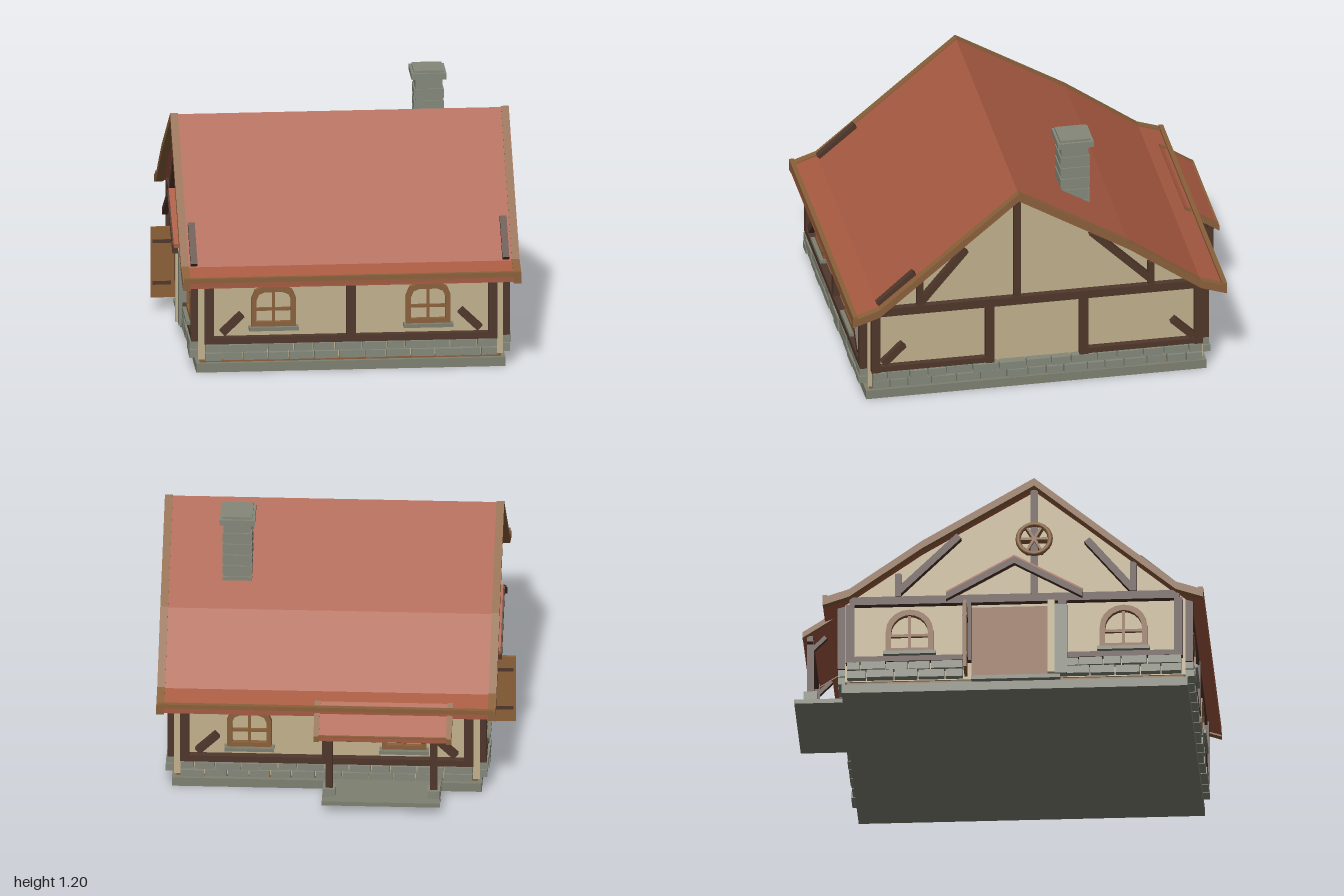
import * as THREE from 'three';

const mat = (name, color, side = THREE.FrontSide) => {
  const m = new THREE.MeshStandardMaterial({ color, side });
  m.name = name;
  return m;
};

export function createModel() {
  const model = new THREE.Group();
  model.name = 'cottage';
  const tile = mat('roofTile', 0xa85a41);
  const plaster = mat('plaster', 0xc2b18d);
  const dark = mat('darkTimber', 0x50372b);
  const trim = mat('trimWood', 0x8a603a);
  const stone = mat('stone', 0x85887a);
  const slabMat = mat('slabStone', 0x7e8171);
  const doorMat = mat('doorWood', 0x8c6038);

  let seed = 7;
  const rnd = () => (seed = (seed * 16807) % 2147483647) / 2147483647;

  const add = (parent, name, geo, m) => {
    const mesh = new THREE.Mesh(geo, m);
    mesh.name = name;
    parent.add(mesh);
    return mesh;
  };
  // Box given by its lower and upper limits on each axis
  const box = (parent, name, m, x0, x1, y0, y1, z0, z1) => {
    const b = add(parent, name, new THREE.BoxGeometry(x1 - x0, y1 - y0, z1 - z0), m);
    b.position.set((x0 + x1) / 2, (y0 + y1) / 2, (z0 + z1) / 2);
    return b;
  };
  // Profile in (z, y) extruded along x
  const alongX = (parent, name, m, pts, x0, x1) => {
    const shape = new THREE.Shape(pts.map(([z, y]) => new THREE.Vector2(-z, y)));
    const geo = new THREE.ExtrudeGeometry(shape, { depth: x1 - x0, bevelEnabled: false });
    geo.rotateY(Math.PI / 2);
    const mesh = add(parent, name, geo, m);
    mesh.position.x = x0;
    return mesh;
  };
  // Closed band of constant thickness under a (z, y) line
  const band = (line, drop, thick) => [
    ...line.map(([z, y]) => [z, y - drop]),
    ...[...line].reverse().map(([z, y]) => [z, y - drop - thick]),
  ];

  // Foundation and plastered body
  box(model, 'foundation', slabMat, -0.72, 0.78, 0, 0.045, -0.76, 0.917);
  box(model, 'sillPlate', trim, -0.7, 0.76, 0.045, 0.065, -0.735, 0.895);
  alongX(model, 'walls', plaster, [[0.905, 0.062], [0.905, 0.465], [0.177, 1.055],
    [-0.365, 0.735], [-0.745, 0.47], [-0.745, 0.062]], -0.71, 0.77);

  // Wall faces: local x runs along the wall, local z points outward
  const face = (name, x, z, angle) => {
    const g = new THREE.Group();
    g.name = name;
    g.position.set(x, 0, z);
    g.rotation.y = angle;
    model.add(g);
    return g;
  };
  const front = face('frontWall', 0, 0.905, 0);
  const back = face('backWall', 0, -0.745, Math.PI);
  const right = face('rightWall', 0.77, 0, Math.PI / 2);
  const left = face('leftWall', -0.71, 0, -Math.PI / 2);

  const strut = (g, name, u0, v0, u1, v1, w = 0.035, d = 0.033, m = dark) => {
    const geo = new THREE.BoxGeometry(Math.hypot(u1 - u0, v1 - v0), w, d);
    const b = add(g, name, geo, m);
    b.position.set((u0 + u1) / 2, (v0 + v1) / 2, d / 2);
    b.rotation.z = Math.atan2(v1 - v0, u1 - u0);
  };
  // Two staggered courses of uneven stones
  const stones = (g, u0, u1, top) => {
    const h = (top - 0.065) / 2;
    for (let row = 0; row < 2; row++) {
      let u = u0;
      while (u < u1 - 0.005) {
        let w = 0.085 + rnd() * 0.05;
        if (row && u === u0) w *= 0.6;
        if (u + w > u1 - 0.05) w = u1 - u;
        const y = 0.065 + row * h;
        box(g, 'stone', stone, u + 0.003, u + w - 0.003, y + 0.002, y + h - 0.003,
          0, 0.032 + rnd() * 0.012);
        u += w;
      }
    }
  };
  // Outline with a flat foot and rounded or cut upper corners
  const arch = (w, h, r, n) => {
    const p = [new THREE.Vector2(-w / 2, 0), new THREE.Vector2(w / 2, 0)];
    for (const side of [0, 1]) for (let i = 0; i <= n; i++) {
      const a = (side + i / n) * Math.PI / 2;
      p.push(new THREE.Vector2((side ? -1 : 1) * (w / 2 - r) + r * Math.cos(a), h - r + r * Math.sin(a)));
    }
    return p;
  };
  const windowAt = (g, u, v, w, h, r, n) => {
    const win = new THREE.Group();
    win.name = 'window';
    win.position.set(u, v, 0);
    g.add(win);
    const shape = new THREE.Shape(arch(w, h, r, n));
    const hole = arch(w - 0.05, h - 0.05, r - 0.02, n).map((p) => p.add(new THREE.Vector2(0, 0.022)));
    shape.holes.push(new THREE.Path(hole));
    add(win, 'windowFrame', new THREE.ExtrudeGeometry(shape, { depth: 0.026, bevelEnabled: false }), trim);
    box(win, 'mullion', trim, -0.007, 0.007, 0.01, h - 0.01, 0, 0.016);
    box(win, 'glazingBar', trim, -w / 2 + 0.01, w / 2 - 0.01, h * 0.38, h * 0.38 + 0.014, 0, 0.015);
    box(win, 'windowSill', slabMat, -w / 2 - 0.012, w / 2 + 0.012, -0.018, 0, 0, 0.045);
  };

  // Long walls
  for (const [g, c] of [[front, 0.03], [back, -0.03]]) {
    box(g, 'topBeam', dark, c - 0.71, c + 0.71, 0.445, 0.485, 0, 0.03);
    box(g, 'lowerBeam', dark, c - 0.71, c + 0.71, 0.147, 0.18, 0, 0.035);
    stones(g, c - 0.71, c + 0.71, 0.147);
    box(g, 'middlePost', dark, c - 0.023, c + 0.023, 0.18, 0.47, 0, 0.033);
    for (const s of [-1, 1]) {
      box(g, 'endPost', dark, c + s * 0.688 - 0.022, c + s * 0.688 + 0.022, 0.15, 0.48, 0, 0.036);
      strut(g, 'brace', c + s * 0.625, 0.2, c + s * 0.53, 0.292);
      windowAt(g, c + s * 0.375, 0.23, 0.216, 0.2, 0.06, 2);
    }
  }

  // Gable walls, laid out in world z (s turns z into local x)
  for (const [g, s] of [[right, -1], [left, 1]]) {
    const bar = (name, z0, y0, z1, y1, w) => strut(g, name, s * z0, y0, s * z1, y1, w);
    bar('tieBeam', 0.88, 0.478, -0.72, 0.478, 0.042);
    bar('kingPost', 0.175, 0.5, 0.175, 1.05);
    for (const z of [0.872, 0.31, -0.152, -0.718]) bar('post', z, 0.15, z, 0.46, 0.042);
    bar('lowerBeam', 0.89, 0.168, 0.33, 0.168, 0.028);
    bar('lowerBeam', -0.735, 0.168, -0.17, 0.168, 0.028);
    bar('gableBrace', 0.65, 0.515, 0.43, 0.78);
    bar('gableStrut', 0.655, 0.5, 0.655, 0.655, 0.03);
    bar('gableBrace', -0.485, 0.525, -0.19, 0.815);
    bar('gableStrut', -0.485, 0.5, -0.485, 0.62, 0.03);
    bar('rafterTail', 0.86, 0.522, 0.68, 0.678, 0.035);
  }
  stones(right, -0.89, 0.735, 0.153);
  stones(left, -0.735, -0.17, 0.153);
  stones(left, 0.33, 0.89, 0.153);
  strut(right, 'brace', -0.835, 0.195, -0.735, 0.292);
  strut(right, 'brace', 0.69, 0.195, 0.59, 0.292);
  windowAt(left, -0.43, 0.205, 0.23, 0.225, 0.113, 5);
  windowAt(left, 0.607, 0.205, 0.23, 0.225, 0.113, 5);

  // Doorway with one closed and one open leaf
  box(left, 'closedDoor', doorMat, -0.13, 0.24, 0.065, 0.44, 0, 0.01);
  box(left, 'doorJamb', plaster, 0.24, 0.275, 0.065, 0.45, 0, 0.062);
  box(left, 'stoneJamb', stone, 0.275, 0.335, 0.065, 0.43, 0, 0.05);
  box(left, 'doorStep', slabMat, -0.13, 0.3, 0.045, 0.065, 0, 0.04);
  box(left, 'openDoor', doorMat, -0.163, -0.148, 0.065, 0.42, 0.03, 0.15);
  for (const y of [0.13, 0.34]) box(left, 'doorStrap', dark, -0.166, -0.145, y, y + 0.018, 0.05, 0.14);

  // Little gabled canopy above the door
  const canopy = [[-0.25, 0.5], [0.08, 0.685], [0.41, 0.5]];
  alongX(model, 'canopyRoof', tile, band(canopy, 0, 0.02), -0.79, -0.7);
  alongX(model, 'canopyFascia', dark, band(canopy, 0.012, 0.035), -0.797, -0.77);

  // Round gable window
  const ring = add(left, 'roundWindow', new THREE.TorusGeometry(0.078, 0.013, 8, 20), trim);
  ring.position.set(0.175, 0.785, 0.04);
  for (let i = 0; i < 3; i++) {
    const a = i * Math.PI / 3, c = 0.078 * Math.cos(a), d = 0.078 * Math.sin(a);
    strut(left, 'roundWindowBar', 0.175 - c, 0.785 - d, 0.175 + c, 0.785 + d, 0.012, 0.045, trim);
  }

  // Main roof, barge boards and eave boards
  const line = [[0.995, 0.478], [0.863, 0.522], [0.177, 1.092], [-0.365, 0.772], [-0.72, 0.522], [-0.848, 0.48]];
  alongX(model, 'roof', tile, band(line, 0.006, 0.026), -0.756, 0.816);
  for (const x of [-0.79, 0.815]) alongX(model, 'bargeBoard', trim, band(line, 0, 0.04), x, x + 0.038);
  box(model, 'frontEaveBoard', trim, -0.785, 0.85, 0.457, 0.495, 0.972, 0.995);
  box(model, 'backEaveBoard', trim, -0.785, 0.85, 0.457, 0.495, -0.848, -0.826);

  // Chimney of alternating courses with a stepped cap
  box(model, 'chimneyCore', stone, 0.42, 0.552, 0.7, 1.16, -0.222, -0.09);
  for (let y = 0.82; y < 1.12; y += 0.06) box(model, 'chimneyCourse', stone, 0.414, 0.558, y, y + 0.046, -0.228, -0.084);
  box(model, 'chimneyCap', stone, 0.4, 0.57, 1.158, 1.188, -0.246, -0.07);
  box(model, 'chimneyTop', stone, 0.412, 0.558, 1.188, 1.2, -0.234, -0.082);

  // Back porch
  box(model, 'porchSlab', slabMat, -0.527, 0.045, 0.04, 0.062, -1, -0.73);
  const porch = [[-0.79, 0.503], [-0.957, 0.395]];
  alongX(model, 'porchRoof', tile, band(porch, 0.004, 0.02).reverse(), -0.557, 0.062);
  for (const x of [-0.582, 0.06]) alongX(model, 'porchBargeBoard', trim, band(porch, 0, 0.03).reverse(), x, x + 0.027);
  box(model, 'porchEaveBoard', trim, -0.56, 0.065, 0.375, 0.398, -0.957, -0.944);
  box(model, 'porchBeam', dark, -0.55, 0.055, 0.36, 0.388, -0.938, -0.908);
  for (const x of [-0.495, 0.012]) {
    box(model, 'porchPost', dark, x - 0.018, x + 0.018, 0.1, 0.385, -0.94, -0.905);
    box(model, 'porchPostFoot', stone, x - 0.03, x + 0.03, 0.062, 0.105, -0.955, -0.89);
    const brace = box(model, 'porchBrace', dark, x - 0.012, x + 0.012, 0.36, 0.38, -0.925, -0.835);
    brace.rotation.x = -Math.PI / 4;
  }
  return model;
}
